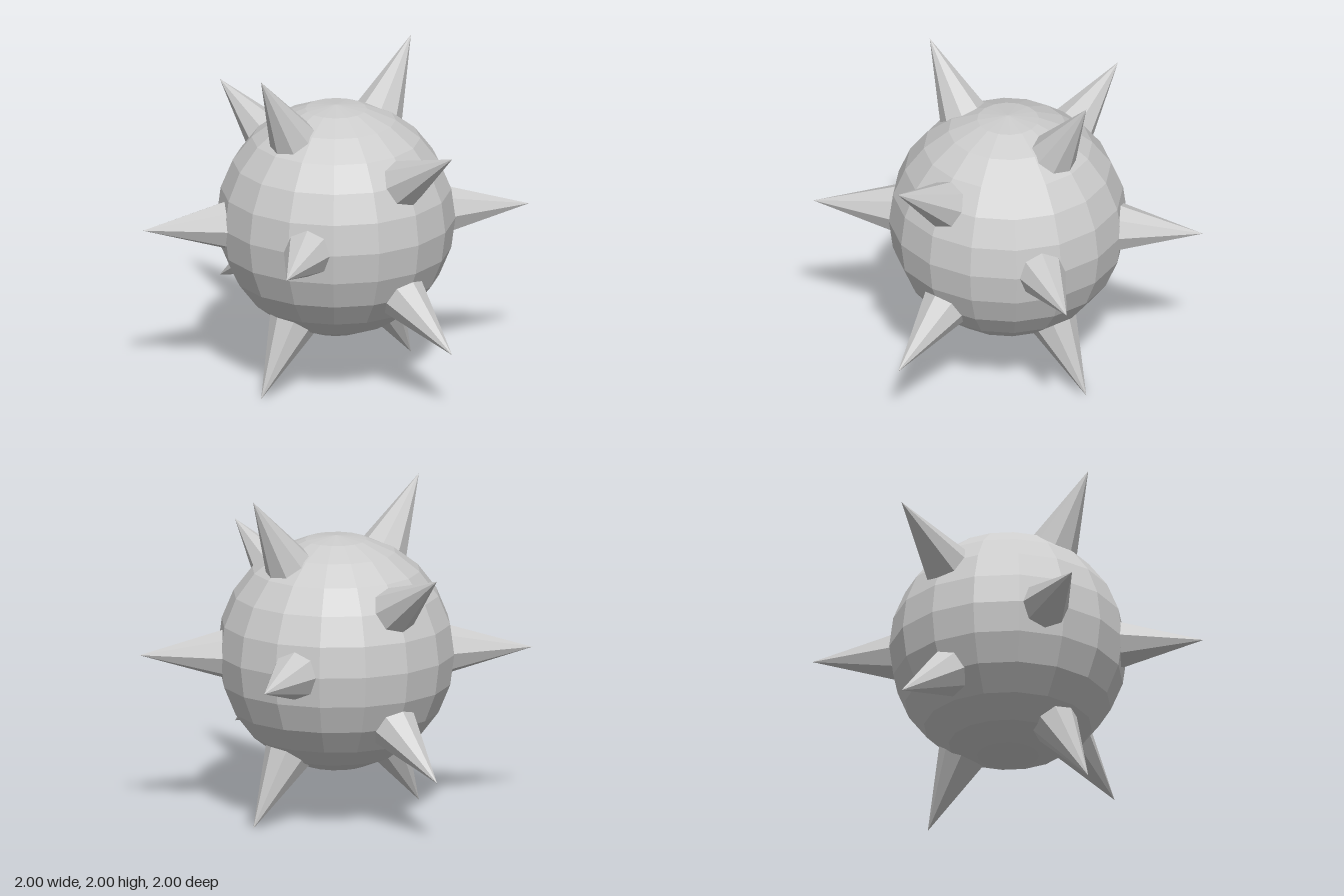
import * as THREE from 'three';

const CENTER_Y = 1;
const BALL_RADIUS = 0.711;
const TIP = Math.hypot(1, 0.618); // distance from the centre to a spike tip
const BASE = 0.67;                // spike base, sunk just below the ball's surface
const BASE_RADIUS = 0.148;

export function createModel() {
  const model = new THREE.Group();
  model.name = 'spikedBall';

  const metal = new THREE.MeshStandardMaterial({ color: 0xcccccc });
  metal.name = 'light grey metal';
  metal.flatShading = true;

  // Faceted ball
  const ball = new THREE.Mesh(new THREE.SphereGeometry(BALL_RADIUS, 16, 12), metal);
  ball.name = 'ball';
  ball.position.y = CENTER_Y;
  model.add(ball);

  // Eight-sided spike pointing along +y, measured from the ball's centre
  const spikeGeometry = new THREE.ConeGeometry(BASE_RADIUS, TIP - BASE, 8);
  spikeGeometry.translate(0, (TIP + BASE) / 2, 0);

  const spikes = new THREE.Group();
  spikes.name = 'spikes';
  spikes.position.y = CENTER_Y;
  model.add(spikes);

  // Twelve spikes on the corners of an icosahedron, four in each coordinate plane
  for (let plane = 0; plane < 3; plane++) {
    const side = new THREE.Vector3().setComponent((plane + 2) % 3, 1);
    for (const a of [-1, 1]) {
      for (const b of [-1, 1]) {
        const direction = new THREE.Vector3()
          .setComponent(plane, a)
          .setComponent((plane + 1) % 3, b * 0.618)
          .normalize();
        const third = new THREE.Vector3().crossVectors(side, direction);
        const spike = new THREE.Mesh(spikeGeometry, metal);
        spike.name = 'spike';
        spike.quaternion.setFromRotationMatrix(
          new THREE.Matrix4().makeBasis(side, direction, third));
        spikes.add(spike);
      }
    }
  }
  return model;
}
